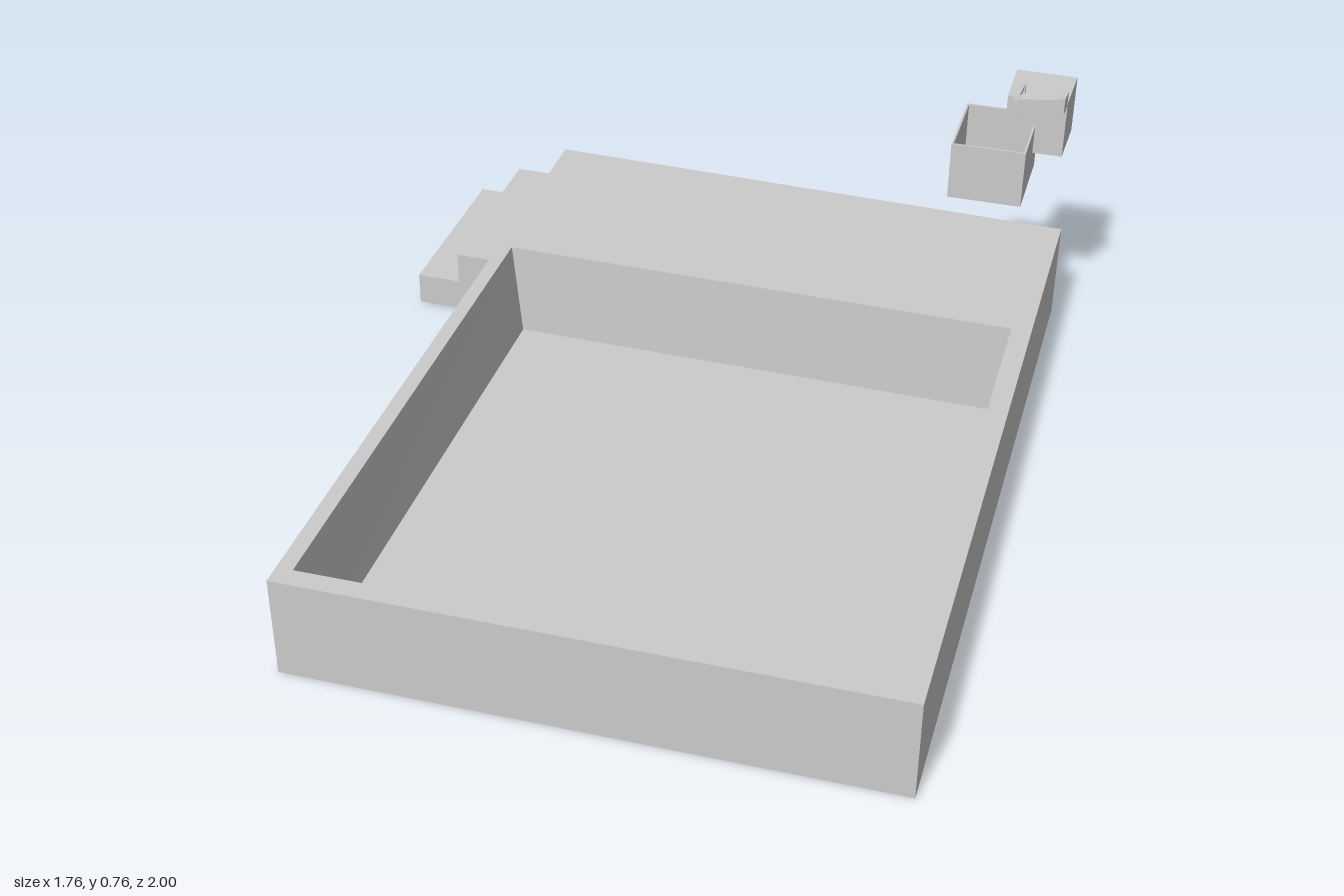
import * as THREE from 'three';

// Solid from a series of rings: each ring is [y, corners [x, z] counter-clockwise seen from above]
function loft(name, rings) {
  const pos = [];
  const pt = (r, i) => [r[1][i][0], r[0], r[1][i][1]];
  const quad = (a, b, c, d) => pos.push(...a, ...b, ...c, ...a, ...c, ...d);
  for (let k = 0; k + 1 < rings.length; k++) {
    for (let i = 0; i < 4; i++) {
      const j = (i + 1) % 4, lo = rings[k], hi = rings[k + 1];
      quad(pt(lo, i), pt(lo, j), pt(hi, j), pt(hi, i));
    }
  }
  const first = rings[0], last = rings[rings.length - 1];
  quad(pt(first, 3), pt(first, 2), pt(first, 1), pt(first, 0));
  quad(pt(last, 0), pt(last, 1), pt(last, 2), pt(last, 3));
  const geo = new THREE.BufferGeometry();
  geo.setAttribute('position', new THREE.Float32BufferAttribute(pos, 3));
  geo.computeVertexNormals();
  return makeMesh(name, geo);
}

function makeMesh(name, geo) {
  const mesh = new THREE.Mesh(geo, new THREE.MeshStandardMaterial({ color: 0xcccccc, flatShading: true }));
  mesh.name = name;
  return mesh;
}

function box(name, x0, x1, y0, y1, z0, z1) {
  const geo = new THREE.BoxGeometry(x1 - x0, y1 - y0, z1 - z0);
  geo.translate((x0 + x1) / 2, (y0 + y1) / 2, (z0 + z1) / 2);
  return makeMesh(name, geo);
}

export function createModel() {
  const model = new THREE.Group();

  // Pool block with a deep basin whose walls lean inwards to the floor
  const outer = [[-0.5, 0.995], [0.88, 0.88], [0.77, -1], [-0.625, -0.95]];
  const rim = [[-0.465, 0.945], [0.835, 0.835], [0.75, -0.485], [-0.555, -0.412]];
  const floor = [[-0.443, 0.932], [0.81, 0.825], [0.725, -0.475], [-0.528, -0.403]];
  model.add(loft('poolBasin', [[0, outer], [0.255, outer], [0.255, rim], [0.01, floor]]));

  // Two steps beside the deck
  const steps = [
    ['upperStep', 0.17, [[-0.735, -0.454], [-0.594, -0.462], [-0.625, -0.95], [-0.765, -0.94]]],
    ['lowerStep', 0.085, [[-0.85, -0.447], [-0.735, -0.454], [-0.765, -0.94], [-0.88, -0.933]]],
  ];
  for (const [name, h, pts] of steps) model.add(loft(name, [[0, pts], [h, pts]]));

  // Open sink with thin walls
  const sinkOuter = [[0.522, -0.685], [0.705, -0.698], [0.692, -0.922], [0.508, -0.91]];
  const sinkInner = [[0.527, -0.69], [0.699, -0.703], [0.687, -0.917], [0.514, -0.905]];
  model.add(loft('sink', [[0.475, sinkOuter], [0.625, sinkOuter], [0.625, sinkInner], [0.48, sinkInner]]));

  // Cabinet block behind the sink
  const block = [[0.622, -0.84], [0.77, -0.852], [0.765, -1], [0.612, -0.992]];
  model.add(loft('tapBlock', [[0.55, block], [0.7, block]]));

  // Tap: sloping spout with a flared end, and a thin arm back to the block
  const tap = new THREE.Group();
  tap.name = 'tap';
  const profile = [[0.645, 0.69], [0.664, 0.69], [0.668, 0.705], [0.755, 0.72], [0.772, 0.715],
    [0.772, 0.755], [0.755, 0.747], [0.665, 0.733], [0.648, 0.722]];
  const spoutGeo = new THREE.ExtrudeGeometry(
    new THREE.Shape(profile.map(([x, y]) => new THREE.Vector2(x, y))), { depth: 0.03, bevelEnabled: false });
  spoutGeo.translate(0, 0, -0.798);
  tap.add(makeMesh('spout', spoutGeo));
  tap.add(box('spoutEnd', 0.768, 0.776, 0.714, 0.757, -0.804, -0.76));
  tap.add(box('tapArm', 0.646, 0.656, 0.713, 0.721, -0.87, -0.79));
  tap.add(box('tapPost', 0.643, 0.659, 0.695, 0.723, -0.874, -0.865));
  model.add(tap);

  return model;
}
